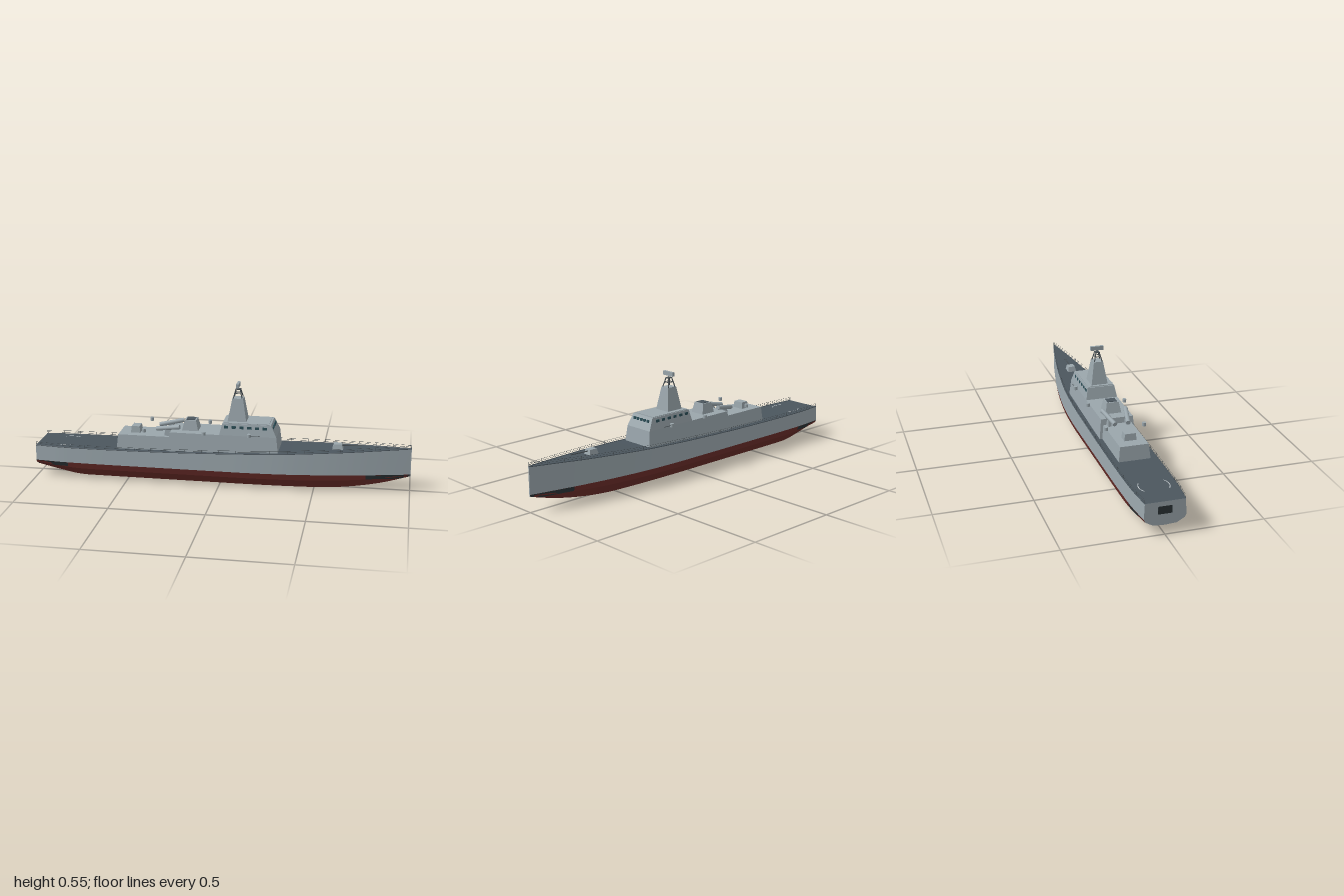
import * as THREE from 'three';
import { mergeGeometries } from 'three/addons/utils/BufferGeometryUtils.js';

const mat = (color) => new THREE.MeshStandardMaterial({ color });
const GREY = mat(0x9aa6ac), DECK = mat(0x4b565e), RED = mat(0x6b2d29), DARK = mat(0x2b3336);
const GLASS = mat(0x2c4f58), RAIL = mat(0x4a5256), WHITE = mat(0xc8cdd0);
const WL = 0.09; // waterline height

// Stations from stern to bow: x, half beam, deck height, keel height
const table = [
  [-1, 0.1, 0.172, 0.05], [-0.87, 0.112, 0.172, 0.022], [-0.76, 0.116, 0.172, 0.002], [-0.6, 0.118, 0.173, 0],
  [-0.3, 0.118, 0.177, 0], [0, 0.118, 0.186, 0], [0.15, 0.117, 0.192, 0], [0.35, 0.108, 0.2, 0],
  [0.55, 0.086, 0.21, 0.001], [0.7, 0.063, 0.217, 0.013], [0.85, 0.034, 0.225, 0.038], [1, 0.002, 0.232, 0.08],
];
const curve = (f) => new THREE.CatmullRomCurve3(table.map(f), false, 'catmullrom', 0.5);
const edgeCurve = curve((s) => new THREE.Vector3(s[0], s[2], s[1]));
const keelCurve = curve((s) => new THREE.Vector3(s[0], s[3], 0));
const station = (t) => {
  const e = edgeCurve.getPoint(t);
  return { x: e.x, half: e.z, deck: e.y, keel: Math.max(0, keelCurve.getPoint(t).y) };
};
const stations = Array.from({ length: 67 }, (_, i) => station(i / 66));
const stationAt = (x) => {
  let lo = 0, hi = 1;
  for (let i = 0; i < 30; i++) {
    const m = (lo + hi) / 2;
    if (station(m).x < x) lo = m; else hi = m;
  }
  return station(lo);
};

// Underwater section: height fraction and width fraction
const section = [[0, 0], [0.09, 0.56], [0.64, 0.93], [1, 1]];
const underwater = ([v, w]) => (s) => [s.keel + (WL - s.keel) * v, s.half * 1.04 * w];
const deckEdge = (s) => [s.deck, s.half];
const widthAt = (s, y) => {
  const v = (y - s.keel) / (WL - s.keel);
  for (let i = 1; i < section.length; i++) {
    const [a, b] = [section[i - 1], section[i]];
    if (v <= b[0]) return s.half * 1.04 * (a[1] + ((b[1] - a[1]) * (v - a[0])) / (b[0] - a[0]));
  }
  return s.half * 1.04;
};

// Surface between two rows of points running from stern to bow
function strip(a, b) {
  const pos = [], index = [];
  a.forEach((p, i) => {
    pos.push(...p, ...b[i]);
    if (i) { const k = 2 * i; index.push(k - 2, k, k + 1, k - 2, k + 1, k - 1); }
  });
  const g = new THREE.BufferGeometry();
  g.setAttribute('position', new THREE.Float32BufferAttribute(pos, 3));
  g.setIndex(index);
  g.computeVertexNormals();
  return g;
}
const row = (list, f, side) => list.map((s) => { const [y, z] = f(s); return [s.x, y, z * side]; });
const bothSides = (list, low, high) => [
  strip(row(list, low, 1), row(list, high, 1)), strip(row(list, high, -1), row(list, low, -1))];

// Box whose top is a different rectangle: [x0, x1, half depth]
function frustum(y0, y1, bottom, top) {
  const g = new THREE.BoxGeometry(2, 2, 2), p = g.attributes.position;
  for (let i = 0; i < p.count; i++) {
    const r = p.getY(i) > 0 ? top : bottom;
    p.setXYZ(i, p.getX(i) > 0 ? r[1] : r[0], p.getY(i) > 0 ? y1 : y0, r[2] * p.getZ(i));
  }
  g.computeVertexNormals();
  return g;
}
const box = (w, h, d, x, y, z) => new THREE.BoxGeometry(w, h, d).translate(x, y, z);
// Round bar between two points
function bar(a, b, r, sides = 6) {
  const A = new THREE.Vector3(...a), d = new THREE.Vector3(...b).sub(A);
  const g = new THREE.CylinderGeometry(r, r, d.length(), sides);
  g.applyQuaternion(new THREE.Quaternion().setFromUnitVectors(new THREE.Vector3(0, 1, 0), d.clone().normalize()));
  return g.translate(...A.addScaledVector(d, 0.5).toArray());
}

export function createModel() {
  const group = new THREE.Group();
  const add = (name, geometry, material) => {
    const m = new THREE.Mesh(Array.isArray(geometry) ? mergeGeometries(geometry) : geometry, material);
    m.name = name;
    group.add(m);
    return m;
  };

  // Hull
  const bottom = [];
  for (let i = 1; i < section.length; i++)
    bottom.push(...bothSides(stations, underwater(section[i - 1]), underwater(section[i])));
  add('hullBottom', bottom, RED);
  add('hullSides', bothSides(stations, underwater([1, 1]), deckEdge), GREY);
  add('mainDeck', strip(row(stations, deckEdge, 1), row(stations, deckEdge, -1)), DECK);
  add('stem', box(0.004, 0.15, 0.006, 0.998, 0.156, 0), GREY);

  // Dark draught patches at bow and stern, just below the waterline
  const low = (s) => {
    const y = Math.max(0.067, s.keel + 0.001);
    return [y, widthAt(s, y) + 0.0012];
  };
  const high = (s) => [WL, s.half * 1.04 + 0.0012];
  for (const [name, from, to] of [['sternPatch', -1, -0.82], ['bowPatch', 0.77, 1]]) {
    const list = Array.from({ length: 9 }, (_, i) => stationAt(from + ((to - from) * i) / 8));
    add(name, bothSides(list, low, high), DARK);
  }

  // Transom with its hatch
  const s0 = stations[0];
  const outline = [...section.map((q) => underwater(q)(s0)), deckEdge(s0)];
  const loop = [...outline, ...outline.slice(1).reverse().map(([y, z]) => [y, -z])];
  const transom = new THREE.ShapeGeometry(new THREE.Shape(loop.map(([y, z]) => new THREE.Vector2(z, y))));
  add('transom', transom.rotateY(-Math.PI / 2).translate(-1, 0, 0), GREY);
  add('transomHatch', box(0.004, 0.04, 0.07, -0.999, 0.128, 0), DARK);

  // Deckhouses and bridge
  add('mainDeckhouse', frustum(0.165, 0.28, [-0.28, 0.315, 0.097], [-0.265, 0.302, 0.085]), GREY);
  add('aftDeckhouse', frustum(0.165, 0.25, [-0.557, -0.275, 0.083], [-0.548, -0.27, 0.074]), GREY);
  add('aftHousing', frustum(0.25, 0.285, [-0.488, -0.437, 0.032], [-0.484, -0.441, 0.028]), GREY);
  add('bridge', frustum(0.28, 0.342, [0, 0.302, 0.085], [0.015, 0.272, 0.073]), GREY);
  add('bridgeRoof', box(0.24, 0.004, 0.136, 0.142, 0.343, 0), GREY);
  add('funnel', frustum(0.28, 0.335, [-0.207, -0.12, 0.042], [-0.193, -0.133, 0.032]), GREY);
  add('funnelCap', box(0.045, 0.003, 0.05, -0.163, 0.336, 0), DECK);

  // Bridge windows
  const windows = [];
  for (let i = -2; i <= 2; i++) windows.push(box(0.006, 0.014, 0.017, 0.2815, 0.323, i * 0.025));
  for (let i = 0; i < 6; i++)
    for (const side of [-1, 1]) windows.push(box(0.022, 0.014, 0.006, 0.035 + i * 0.041, 0.323, side * 0.075));
  add('bridgeWindows', windows, GLASS);

  // Mast, lattice top and radar
  add('mastTower', frustum(0.342, 0.465, [0.038, 0.138, 0.045], [0.06, 0.117, 0.025]), GREY);
  const lattice = [box(0.026, 0.004, 0.024, 0.088, 0.512, 0)];
  const cx = 0.088;
  for (const i of [-1, 1]) {
    for (const k of [-1, 1]) lattice.push(bar([cx + i * 0.023, 0.465, k * 0.021], [cx + i * 0.011, 0.513, k * 0.009], 0.003));
    lattice.push(bar([cx + i * 0.017, 0.49, -0.015], [cx + i * 0.017, 0.49, 0.015], 0.002));
    lattice.push(bar([cx - 0.017, 0.49, i * 0.015], [cx + 0.017, 0.49, i * 0.015], 0.002));
  }
  add('mastLattice', lattice, RAIL);
  add('radarPost', bar([cx, 0.512, 0], [cx, 0.525, 0], 0.002), RAIL);
  add('radarAntenna', box(0.014, 0.022, 0.07, cx, 0.534, 0), GREY);

  // Angled launch canisters
  for (const side of [-1, 1]) {
    const z = side * 0.035;
    add('launchCanister', bar([-0.345, 0.281, z], [-0.215, 0.305, z + side * 0.027], 0.012, 10), GREY);
    add('canisterStand', frustum(0.25, 0.288, [-0.3, -0.265, 0.008], [-0.295, -0.27, 0.006]), GREY).position.z = side * 0.048;
  }

  // Side mounts along the superstructure
  for (const side of [-1, 1]) {
    for (const x of [-0.4, -0.08, 0.16])
      add('sideMount', new THREE.CylinderGeometry(0.01, 0.01, 0.018, 12).translate(x, 0.289, side * 0.1), GREY);
    add('sideMountBarrel', bar([0.16, 0.289, side * 0.1], [0.215, 0.289, side * 0.1], 0.0015), RAIL);
  }

  // Bow gun
  add('gunTurret', frustum(0.208, 0.24, [0.588, 0.648, 0.025], [0.596, 0.638, 0.018]), GREY);
  add('gunBarrel', bar([0.635, 0.231, 0], [0.745, 0.235, 0], 0.003, 8), RAIL);

  // Landing circle arcs on the aft deck
  for (const start of [Math.PI / 2, -Math.PI / 2]) {
    const arc = new THREE.RingGeometry(0.074, 0.078, 24, 1, start - 0.6, 1.2);
    add('landingMark', arc.rotateX(-Math.PI / 2).translate(-0.84, 0.1735, 0), WHITE);
  }

  // Guard rails along both deck edges
  const rails = [];
  for (const side of [-1, 1]) {
    const at = (s, h) => new THREE.Vector3(s.x, s.deck + h, s.half * side * 0.98);
    for (const h of [0.009, 0.018]) {
      const path = new THREE.CatmullRomCurve3(stations.map((s) => at(s, h)));
      rails.push(new THREE.TubeGeometry(path, 66, 0.0007, 4));
    }
    for (let x = -0.995; x < 1; x += 0.0905) {
      const s = stationAt(x);
      rails.push(bar(at(s, 0).toArray(), at(s, 0.018).toArray(), 0.001, 5));
    }
    add('deckEdgeTrim', new THREE.TubeGeometry(new THREE.CatmullRomCurve3(stations.map((s) => at(s, 0))), 66, 0.003, 6), DECK);
  }
  add('guardRails', rails, RAIL);
  return group;
}
